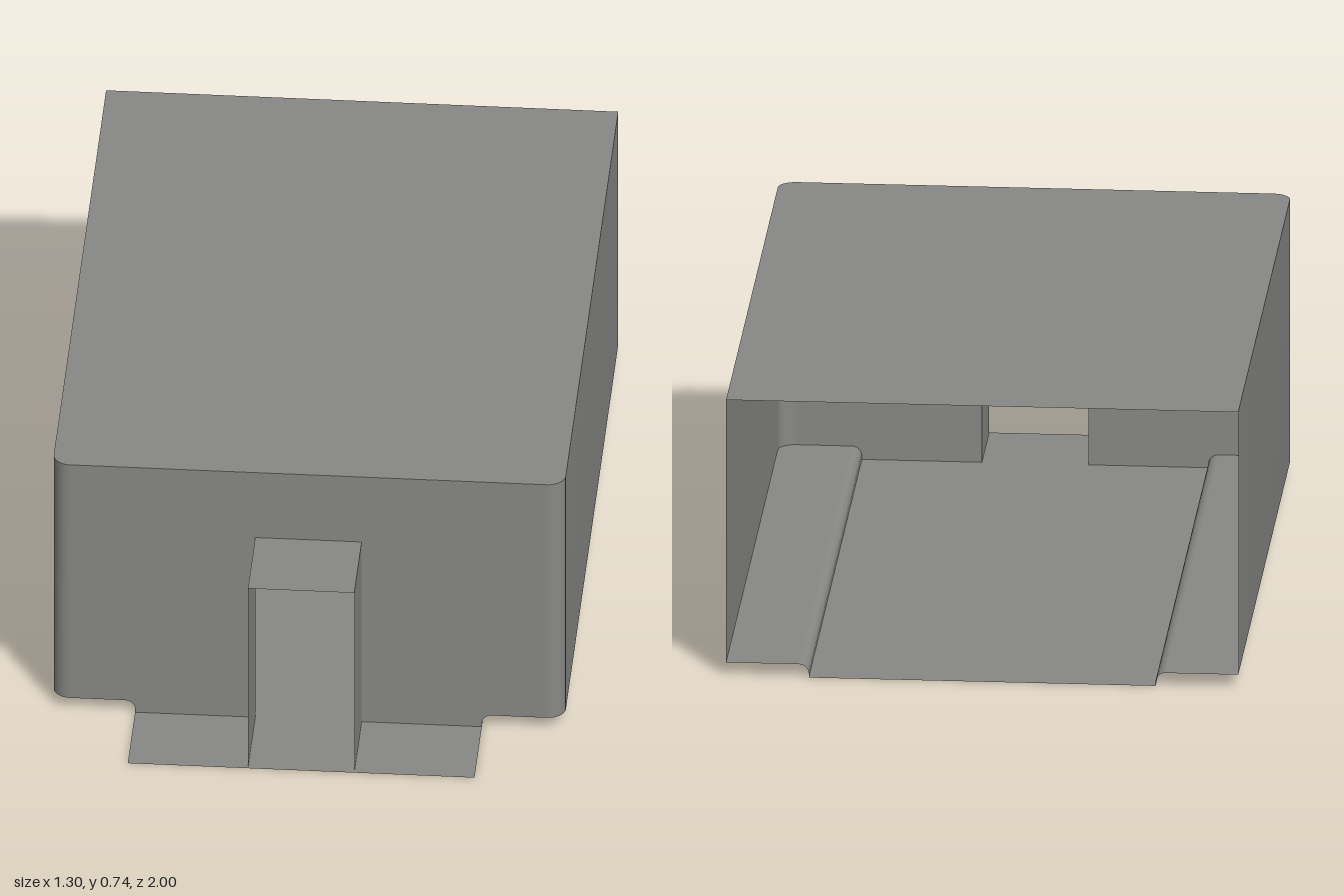
import * as THREE from 'three';
import { toCreasedNormals } from 'three/addons/utils/BufferGeometryUtils.js';

const W = 0.65, TOP = 0.735, SHELF = 0.035;   // half width, roof and raised floor heights
const BACK = -1, FRONT = 0.76, LIP = 1;       // depth stations
const KEEL = 0.44, STEP_R = 0.025;            // half width of the low floor, step rounding
const CORNER = 0.045;                         // vertical corner rounding
const HOLE_W = 0.135, HOLE_H = 0.54;          // doorway

// Points on an arc
function arc(cx, cy, r, from, to, n = 8) {
  return Array.from({ length: n + 1 }, (_, i) => {
    const a = from + (to - from) * i / n;
    return [cx + r * Math.cos(a), cy + r * Math.sin(a)];
  });
}

const mirror = (points) => points.map(([x, y]) => [-x, y]).reverse();
const toShape = (points) => new THREE.Shape(points.map(([x, y]) => new THREE.Vector2(x, y)));

// Thin sheet swept from t0 to t1 along a 2D path; place maps (a, b, t) to x, y, z
function ribbon(path, t0, t1, place) {
  const pos = [];
  for (let i = 0; i < path.length - 1; i++) {
    const [p, q] = [path[i], path[i + 1]];
    for (const [v, t] of [[p, t0], [q, t0], [q, t1], [p, t0], [q, t1], [p, t1]]) {
      pos.push(...place(v[0], v[1], t));
    }
  }
  const g = new THREE.BufferGeometry();
  g.setAttribute('position', new THREE.Float32BufferAttribute(pos, 3));
  g.computeVertexNormals();
  return toCreasedNormals(g, 0.6);
}

// Horizontal sheet from an (x, z) outline
function plate(points, y, facingUp) {
  const s = facingUp ? -1 : 1;
  const g = new THREE.ShapeGeometry(toShape(points.map(([x, z]) => [x, s * z])));
  return g.rotateX(s * Math.PI / 2).translate(0, y, 0);
}

export function createModel() {
  const model = new THREE.Group();
  model.name = 'openHousing';
  const grey = new THREE.MeshStandardMaterial({ color: 0x888886, side: THREE.DoubleSide });
  grey.name = 'grey';
  const add = (name, geometry) => {
    const mesh = new THREE.Mesh(geometry, grey);
    mesh.name = name;
    model.add(mesh);
  };
  const alongY = (x, z, y) => [x, y, z];
  const alongZ = (x, y, z) => [x, y, z];

  // Side walls with rounded front corners
  const leftWall = [
    ...arc(W - CORNER, FRONT - CORNER, CORNER, Math.PI / 2, 0),
    [W, BACK],
  ];
  const rightWall = mirror(leftWall);
  add('leftWall', ribbon(leftWall, SHELF, TOP, alongY));
  add('rightWall', ribbon(rightWall, SHELF, TOP, alongY));

  // Roof
  add('roof', plate([...rightWall, ...leftWall], TOP, true));

  // Rounded step between the low floor and the raised shelves
  const step = [
    [KEEL, 0],
    ...arc(KEEL + STEP_R, SHELF - STEP_R, STEP_R, Math.PI, Math.PI / 2),
  ];
  add('leftFloorStep', ribbon(step, BACK, FRONT, alongZ));
  add('rightFloorStep', ribbon(mirror(step), BACK, FRONT, alongZ));

  // Raised floor shelves
  const inner = KEEL + STEP_R;
  const shelf = [...leftWall, [inner, BACK], [inner, FRONT]];
  add('leftFloorShelf', plate(shelf, SHELF, false));
  add('rightFloorShelf', plate(mirror(shelf), SHELF, false));

  // Low floor running out past the front wall
  add('lowFloor', plate([[-KEEL, BACK], [KEEL, BACK], [KEEL, LIP], [-KEEL, LIP]], 0, false));

  // Front wall with doorway cut up from the low floor
  const edge = W - CORNER;
  const doorway = [[HOLE_W, 0], [HOLE_W, HOLE_H], [-HOLE_W, HOLE_H], [-HOLE_W, 0]];
  const front = toShape([
    ...step, [edge, SHELF], [edge, TOP], [-edge, TOP], [-edge, SHELF],
    ...mirror(step), ...[...doorway].reverse(),
  ]);
  add('frontWall', new THREE.ShapeGeometry(front).translate(0, 0, FRONT));

  // Entrance tunnel: two walls and a roof
  add('entranceTunnel', ribbon(doorway, FRONT, LIP, alongZ));

  return model;
}
